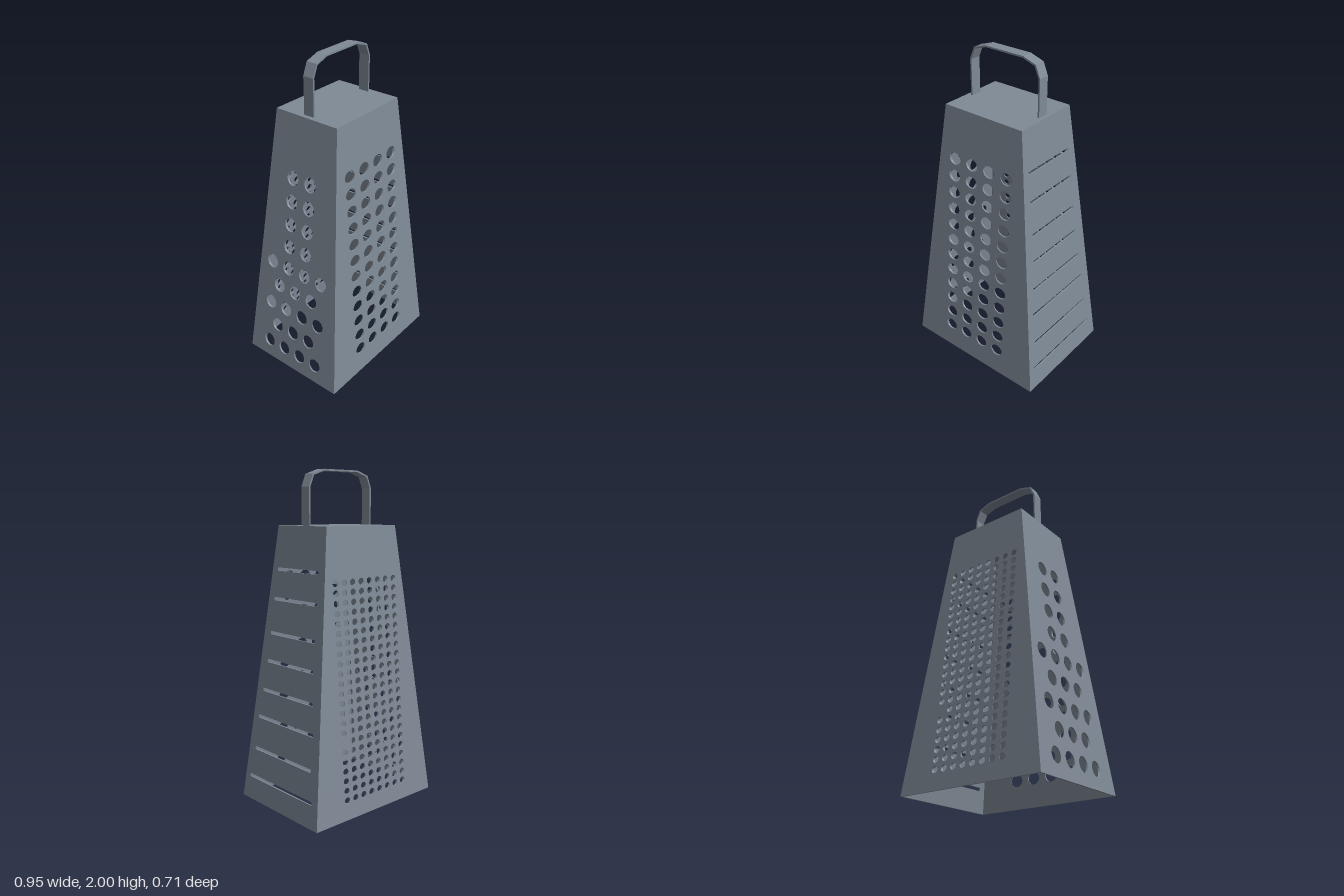
import * as THREE from 'three';

const HEIGHT = 1.68, WALL = 0.01;
const BASE = { x: 0.475, z: 0.357 }, TOP = { x: 0.272, z: 0.215 };

// Outlines of the cut-outs, as hole paths in panel coordinates (u across, y up)
function roundHole(u, y, ru, ry) {
  return new THREE.Path().absellipse(u, y, ru, ry, 0, Math.PI * 2, true);
}
function slotHole(u0, u1, y, h) {
  return new THREE.Path([[u0, y - h], [u0, y + h], [u1, y + h], [u1, y - h]]
    .map(([a, b]) => new THREE.Vector2(a, b)));
}

// One leaning trapezoid wall with holes; inner side is mitred to meet its neighbours
function panel(name, across, out, angle, holes, material) {
  const w0 = BASE[across], w1 = TOP[across];
  const shape = new THREE.Shape([
    new THREE.Vector2(-w0, 0), new THREE.Vector2(w0, 0),
    new THREE.Vector2(w1, HEIGHT), new THREE.Vector2(-w1, HEIGHT),
  ]);
  shape.holes.push(...holes);
  const geo = new THREE.ExtrudeGeometry(shape, { depth: WALL, bevelEnabled: false, curveSegments: 10 });
  const p = geo.attributes.position;
  for (let i = 0; i < p.count; i++) {
    const t = p.getY(i) / HEIGHT, inset = WALL - p.getZ(i);
    const half = THREE.MathUtils.lerp(w0, w1, t);
    p.setX(i, p.getX(i) * (half - inset) / half);
    p.setZ(i, THREE.MathUtils.lerp(BASE[out], TOP[out], t) - inset);
  }
  geo.computeVertexNormals();
  const mesh = new THREE.Mesh(geo, material);
  mesh.name = name;
  mesh.rotation.y = angle;
  return mesh;
}

export function createModel() {
  const group = new THREE.Group();
  group.name = 'boxGrater';
  const steel = new THREE.MeshStandardMaterial({ color: 0x7f8a96 });
  steel.name = 'steel';

  // Front: medium round holes
  const medium = [];
  for (let r = 0; r < 12; r++)
    for (let c = 0; c < 4; c++)
      medium.push(roundHole(-0.194 + c * 0.128, 0.17 + r * 0.109, 0.042, 0.037));

  // Back: fine holes, with one left out in the outer column
  const fine = [];
  for (let r = 0; r < 23; r++)
    for (let c = 0; c < 8; c++)
      if (!(r === 6 && c === 0))
        fine.push(roundHole(-0.232 + c * 0.0665, 0.117 + r * 0.0568, 0.02, 0.0195));

  // Right-hand wall of the frame (+x): slicing slots
  const slots = [
    [0.145, 0.295], [0.325, 0.265], [0.525, 0.258], [0.695, 0.232],
    [0.875, 0.212], [1.045, 0.202], [1.25, 0.194], [1.425, 0.185],
  ].map(([y, half]) => slotHole(-half - 0.004, half - 0.004, y, 0.01));

  // Opposite wall (-x): coarse staggered holes
  const coarse = [];
  [4, 3, 4, 3, 4, 2, 2, 2, 2].forEach((n, r) => {
    for (let c = 0; c < n; c++)
      coarse.push(roundHole((c - (n - 1) / 2) * 0.128 - 0.006, 0.12 + r * 0.148, 0.042, 0.046));
  });

  group.add(
    panel('frontMediumPanel', 'x', 'z', 0, medium, steel),
    panel('backFinePanel', 'x', 'z', Math.PI, fine, steel),
    panel('leftSlicerPanel', 'z', 'x', Math.PI / 2, slots, steel),
    panel('rightCoarsePanel', 'z', 'x', -Math.PI / 2, coarse, steel),
  );

  // Top plate
  const lid = new THREE.Mesh(
    new THREE.BoxGeometry(2 * (TOP.x - WALL), WALL, 2 * (TOP.z - WALL)), steel);
  lid.name = 'topPlate';
  lid.position.y = HEIGHT - WALL / 2;
  group.add(lid);

  // Bent strap handle
  const outer = [[0.245, HEIGHT - 0.005], [0.245, 1.9], [0.215, 1.972], [0.13, 2]];
  const inner = [[0.235, HEIGHT - 0.005], [0.235, 1.897], [0.207, 1.964], [0.128, 1.99]];
  const mirror = (pts) => pts.map(([x, y]) => [-x, y]).reverse();
  const outline = [...outer, ...mirror(outer), ...inner.map(([x, y]) => [-x, y]), ...[...inner].reverse()];
  const strap = new THREE.ExtrudeGeometry(
    new THREE.Shape(outline.map(([x, y]) => new THREE.Vector2(x, y))),
    { depth: 0.068, bevelEnabled: false });
  strap.translate(0, 0, -0.036);
  const handle = new THREE.Mesh(strap, steel);
  handle.name = 'handle';
  group.add(handle);

  return group;
}
